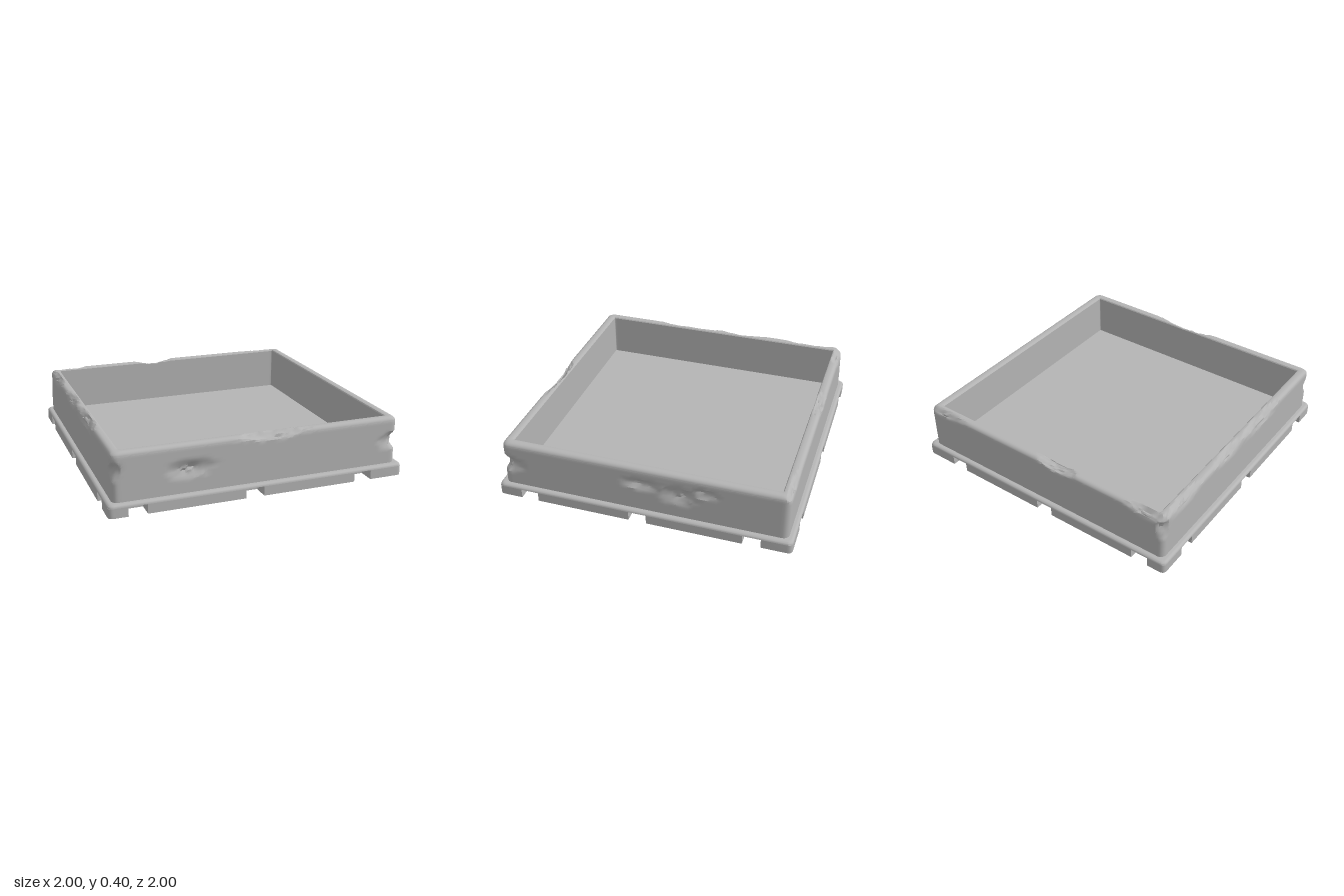
import * as THREE from 'three';
import { toCreasedNormals } from 'three/addons/utils/BufferGeometryUtils.js';

// Sweep a profile of [halfWidth, cornerRadius, y] around a rounded square
function sweepSquare(profile, steps, move = (p) => p) {
  const arc = 5;
  const per = 4 * (arc + steps);
  const positions = [];
  const indices = [];
  profile.forEach(([h, r, y], j) => {
    const corner = (k, s) => {
      const a = (k + s / arc) * Math.PI / 2;
      const m = (k + 0.5) * Math.PI / 2;
      return new THREE.Vector3(
        Math.sign(Math.cos(m)) * (h - r) + r * Math.cos(a), y,
        Math.sign(Math.sin(m)) * (h - r) + r * Math.sin(a));
    };
    let i = 0;
    for (let k = 0; k < 4; k++) {
      const end = corner(k, arc);
      const next = corner(k + 1, 0);
      for (let s = 0; s < arc + steps; s++) {
        const p = s < arc ? corner(k, s) : end.clone().lerp(next, (s - arc) / steps);
        move(p, i++, j);
        positions.push(p.x, p.y, p.z);
      }
    }
  });
  for (let j = 0; j < profile.length - 1; j++) {
    for (let i = 0; i < per; i++) {
      const n = (i + 1) % per;
      const a = j * per + i, b = j * per + n, c = a + per, d = b + per;
      indices.push(a, c, b, b, c, d);
    }
  }
  const geometry = new THREE.BufferGeometry();
  geometry.setAttribute('position', new THREE.Float32BufferAttribute(positions, 3));
  geometry.setIndex(indices);
  return toCreasedNormals(geometry, 0.45);
}

// Worn spots: centre, radii, depth
const chips = [
  [[-0.48, 0.235, 0.965], [0.19, 0.065, 0.1], 0.03],
  [[0.08, 0.4, 0.955], [0.29, 0.05, 0.05], 0.035],
  [[0.965, 0.28, 0.0], [0.1, 0.16, 0.16].map((v, i) => (i === 1 ? 0.05 : v)), 0.028],
  [[0.965, 0.25, -0.25], [0.1, 0.08, 0.15], 0.032],
  [[0.965, 0.3, -0.42], [0.1, 0.045, 0.11], 0.025],
  [[0.96, 0.24, 0.96], [0.14, 0.07, 0.17], 0.035],
  [[-0.96, 0.28, 0.96], [0.07, 0.07, 0.07], 0.02],
  [[-0.14, 0.4, -0.94], [0.17, 0.05, 0.06], 0.035],
  [[-0.84, 0.4, -0.955], [0.18, 0.06, 0.05], 0.03],
  [[0.84, 0.39, -0.96], [0.2, 0.04, 0.035], 0.02],
  [[-0.96, 0.34, -0.96], [0.06, 0.12, 0.06], 0.025],
  [[-0.96, 0.39, -0.72], [0.045, 0.05, 0.22], 0.025],
  [[-0.96, 0.39, -0.18], [0.045, 0.05, 0.2], 0.025],
  [[-0.96, 0.39, 0.25], [0.045, 0.06, 0.28], 0.028],
];

const hash = (i, j) => {
  const v = Math.sin(i * 127.1 + j * 311.7) * 43758.5453;
  return v - Math.floor(v);
};

// Push wall vertices inward and down inside the worn spots
function wear(p, i, j) {
  if (Math.max(Math.abs(p.x), Math.abs(p.z)) < 0.91 && p.y < 0.38) return;
  const rough = hash(Math.floor(i / 2), Math.floor(j / 2));
  let push = 0;
  for (const [c, r, depth] of chips) {
    const d = Math.hypot((p.x - c[0]) / r[0], (p.y - c[1]) / r[1], (p.z - c[2]) / r[2]);
    const w = Math.min(1, Math.max(0, 1.1 - d - 0.3 * rough) * 1.6);
    push = Math.max(push, w * depth * (0.5 + 0.5 * rough));
  }
  const down = THREE.MathUtils.smoothstep(p.y, 0.34, 0.39);
  const inward = push * (1 - 0.6 * down);
  if (Math.abs(p.x) > 0.91) p.x -= Math.sign(p.x) * inward;
  if (Math.abs(p.z) > 0.91) p.z -= Math.sign(p.z) * inward;
  p.y -= push * down;
}

// Outline of the foot with three notches on every side
function notchedOutline() {
  const depth = 0.11, half = 0.06, r = 0.035;
  const xs = [-0.816, -0.055, 0.707];
  const zs = [-0.74, 0.018, 0.777];
  const shape = new THREE.Shape();
  // Shape y is -z, so the outline runs counter-clockwise from above
  const sides = [
    { cuts: xs, at: (t, o) => [t, -o] },
    { cuts: zs.map((z) => -z).reverse(), at: (t, o) => [o, t] },
    { cuts: xs.map((x) => -x).reverse(), at: (t, o) => [-t, o] },
    { cuts: zs, at: (t, o) => [-o, -t] },
  ];
  sides.forEach(({ cuts, at }, k) => {
    if (k === 0) shape.moveTo(...at(-1 + r, 1));
    for (const c of cuts) {
      shape.lineTo(...at(c - half, 1));
      shape.lineTo(...at(c - half, 1 - depth));
      shape.lineTo(...at(c + half, 1 - depth));
      shape.lineTo(...at(c + half, 1));
    }
    shape.lineTo(...at(1 - r, 1));
    shape.quadraticCurveTo(...at(1, 1), ...at(1, 1 - r));
  });
  return shape;
}

export function createModel() {
  const model = new THREE.Group();
  model.name = 'tray';
  const grey = new THREE.MeshStandardMaterial({ color: 0xb4b4b4 });
  grey.name = 'grey';
  const add = (name, geometry) => {
    const mesh = new THREE.Mesh(geometry, grey);
    mesh.name = name;
    model.add(mesh);
  };

  // Notched foot under the base
  const foot = new THREE.ExtrudeGeometry(notchedOutline(), {
    depth: 0.063, bevelEnabled: false, curveSegments: 5,
  });
  foot.rotateX(-Math.PI / 2);
  add('notchedFoot', toCreasedNormals(foot, 0.45));

  // Rounded lip that covers the notches
  const lip = [[0.86, 0.01, 0.063], [1, 0.035, 0.063]];
  for (let s = 1; s <= 5; s++) {
    const a = s / 5 * Math.PI / 2;
    lip.push([0.98 + 0.02 * Math.cos(a), 0.035, 0.063 + 0.02 * Math.sin(a)]);
  }
  lip.push([0.93, 0.02, 0.083]);
  add('baseLip', sweepSquare(lip, 1));

  // Wall: outer face, rounded rim, inner face
  const wall = [];
  for (let s = 0; s <= 18; s++) wall.push([0.965, 0.04, 0.08 + 0.29 * s / 18]);
  for (let s = 1; s <= 5; s++) {
    const a = s / 5 * Math.PI / 2;
    wall.push([0.935 + 0.03 * Math.cos(a), 0.04, 0.37 + 0.03 * Math.sin(a)]);
  }
  wall.push([0.925, 0.03, 0.4], [0.914, 0.02, 0.4], [0.905, 0.01, 0.397],
    [0.9, 0.005, 0.39], [0.9, 0.005, 0.085]);
  add('wall', sweepSquare(wall, 100, wear));

  // Floor inside the tray
  const floor = new THREE.PlaneGeometry(1.81, 1.81);
  floor.rotateX(-Math.PI / 2);
  floor.translate(0, 0.09, 0);
  add('floor', floor);

  return model;
}
